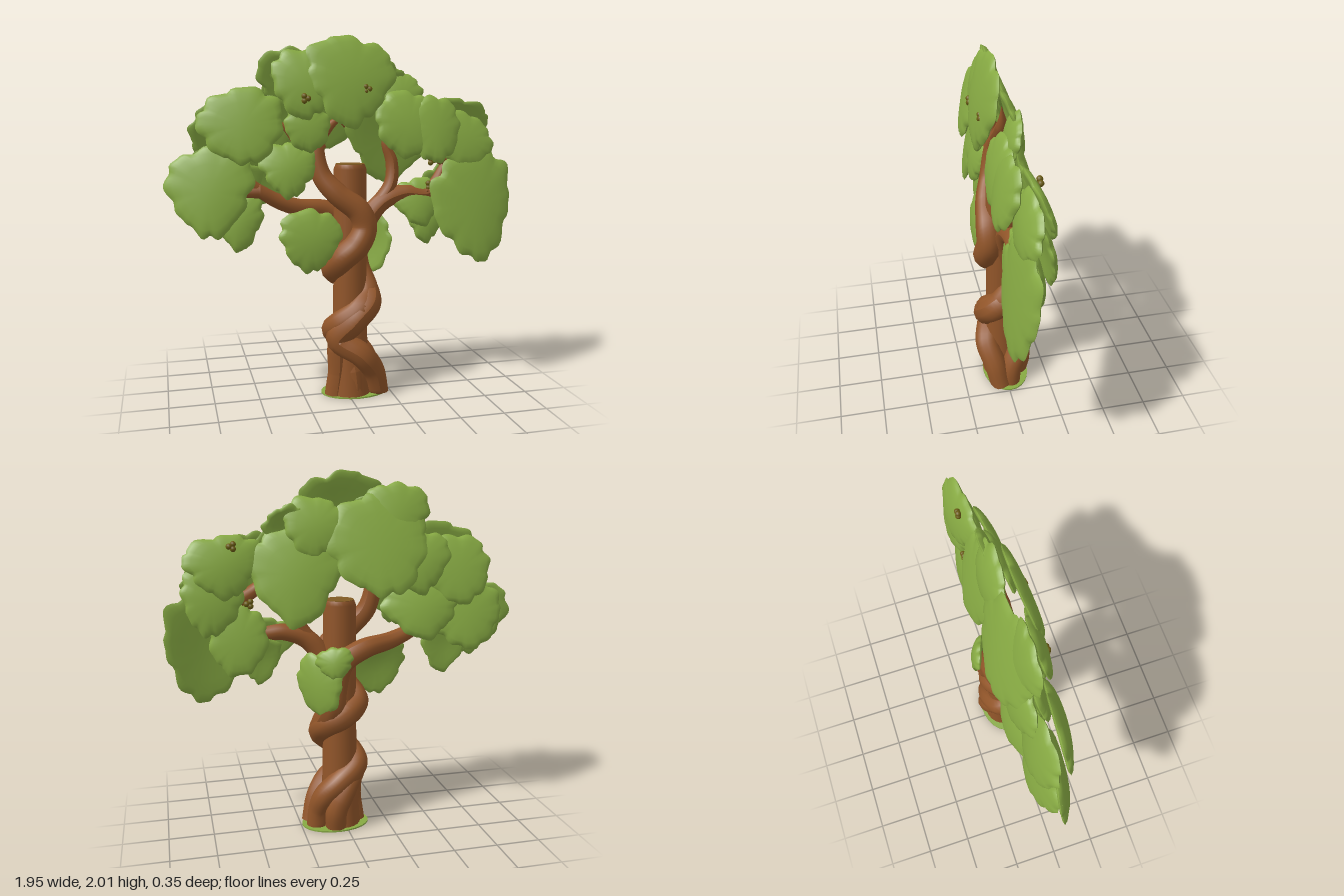
import * as THREE from 'three';

const mat = (name, color) => {
  const m = new THREE.MeshStandardMaterial({ color });
  m.name = name;
  return m;
};

// Tapered tube through points; radii are spread evenly along the path
function taperTube(points, radii, segments = 60, sides = 12) {
  const curve = new THREE.CatmullRomCurve3(points.map(p => new THREE.Vector3(...p)));
  const geo = new THREE.TubeGeometry(curve, segments, 1, sides);
  const pos = geo.attributes.position, v = new THREE.Vector3();
  for (let i = 0; i <= segments; i++) {
    const t = i / segments, c = curve.getPointAt(t);
    const f = t * (radii.length - 1), k = Math.min(Math.floor(f), radii.length - 2);
    const r = THREE.MathUtils.lerp(radii[k], radii[k + 1], f - k);
    for (let j = 0; j <= sides; j++) {
      const n = i * (sides + 1) + j;
      v.fromBufferAttribute(pos, n).sub(c).multiplyScalar(r).add(c);
      pos.setXYZ(n, v.x, Math.max(0.008, v.y), v.z);
    }
  }
  geo.computeVertexNormals();
  return geo;
}

// Plump leaf, wide above and narrow below: two domed discs sharing one lobed rim
function leafGeometry(w, h, seed) {
  const N = 72, rings = [0.3, 0.6, 0.82, 0.94, 1], thick = 0.02;
  const lobes = 7 + (seed % 3), phase = seed * 1.3;
  const pos = [], idx = [];
  const point = (r, a, side) => {
    const scallop = 0.88 + 0.13 * Math.pow(Math.abs(Math.sin(a * lobes / 2 + phase)), 0.6);
    const wobble = 1 + 0.05 * Math.sin(3 * a + seed) + 0.025 * Math.sin(13 * a + seed);
    const k = 1 + (scallop * wobble - 1) * r ** 4;
    const u = r * k * Math.cos(a), v = r * k * Math.sin(a);
    const bend = 0.02 * (0.4 - r * r) + 0.006 * r * r * Math.sin(2 * a + seed);
    pos.push(u * (1 + 0.28 * v) * w / 2, v * h / 2, side * thick * Math.sqrt(1 - r ** 6) + bend);
  };
  for (const side of [1, -1]) {
    const base = pos.length / 3;
    point(0, 0, side);
    for (const r of rings) for (let j = 0; j < N; j++) point(r, j / N * Math.PI * 2, side);
    const tri = (a, b, c) => side > 0 ? idx.push(a, b, c) : idx.push(a, c, b);
    for (let j = 0; j < N; j++) {
      const q = (j + 1) % N;
      tri(base, base + 1 + j, base + 1 + q);
      for (let i = 0; i < rings.length - 1; i++) {
        const a = base + 1 + i * N, b = a + N;
        tri(a + j, b + j, b + q);
        tri(a + j, b + q, a + q);
      }
    }
  }
  const geo = new THREE.BufferGeometry();
  geo.setAttribute('position', new THREE.Float32BufferAttribute(pos, 3));
  geo.setIndex(idx);
  geo.computeVertexNormals();
  return geo;
}

export function createModel() {
  const bark = mat('bark brown', 0x915529);
  const green = mat('leaf green', 0x87aa43);
  const olive = mat('olive bud', 0x6b5c14);
  const cutWood = mat('cut wood', 0x7f5a22);
  const root = new THREE.Group();
  root.name = 'tree';
  const add = (name, geo, m, x = 0, y = 0, z = 0) => {
    const mesh = new THREE.Mesh(geo, m);
    mesh.name = name;
    mesh.position.set(x, y, z);
    root.add(mesh);
    return mesh;
  };

  // Central post with a rounded, cut top; flared foot and moss under it
  const profile = [[0.12, 0.008], [0.11, 0.12], [0.1, 0.3], [0.093, 0.7], [0.09, 1.29], [0.08, 1.315]];
  add('post', new THREE.LatheGeometry(profile.map(p => new THREE.Vector2(...p)), 24), bark, 0.02, 0, 0);
  add('postTop', new THREE.CylinderGeometry(0.08, 0.08, 0.008, 24), cutWood, 0.02, 1.313, 0);
  add('baseMoss', new THREE.CylinderGeometry(1, 1, 0.008, 24), green, 0.05, 0.004, -0.01).scale.set(0.195, 1, 0.135);

  // Twisting stems around the post, running out into the main boughs
  const stems = {
    frontStem: [[[0.18, 0.0, 0.04], [0.14, 0.14, 0.07], [0.06, 0.25, 0.1], [-0.06, 0.34, 0.06], [0.02, 0.45, 0.095],
      [0.11, 0.54, 0.06], [0.1, 0.62, -0.04], [0.02, 0.67, -0.075], [-0.07, 0.73, -0.01], [-0.04, 0.8, 0.07],
      [0.04, 0.88, 0.095], [0.08, 0.97, 0.085], [0.05, 1.06, 0.085], [-0.07, 1.16, 0.07], [-0.15, 1.26, 0.04],
      [-0.17, 1.42, 0.02], [-0.1, 1.52, 0.01], [0.04, 1.62, 0]],
      [0.06, 0.07, 0.076, 0.075, 0.075, 0.072, 0.06, 0.042, 0.0]],
    backStem: [[[0.16, 0.0, -0.02], [0.15, 0.1, -0.03], [0.12, 0.2, -0.07], [0.04, 0.28, -0.085],
      [-0.06, 0.36, -0.04], [-0.05, 0.42, 0.05], [0.05, 0.5, 0.085], [0.11, 0.58, 0.02], [0.08, 0.72, -0.07],
      [0.06, 0.85, -0.075], [0.02, 0.98, -0.085], [-0.1, 1.05, -0.08], [-0.27, 1.08, -0.03], [-0.42, 1.14, 0],
      [-0.54, 1.24, 0.02], [-0.6, 1.38, 0.02]],
      [0.06, 0.068, 0.074, 0.075, 0.073, 0.064, 0.05, 0.036, 0.0]],
    backRoot: [[[0.06, 0, -0.08], [0.06, 0.12, -0.1], [0.0, 0.25, -0.09], [-0.07, 0.36, -0.02], [-0.03, 0.46, 0.06]],
      [0.06, 0.065, 0.06, 0.04]],
    leftRoot: [[[-0.075, 0, 0.02], [-0.06, 0.15, 0.03], [-0.06, 0.28, 0.03], [-0.05, 0.4, 0.03]], [0.058, 0.055, 0.06, 0.05]],
    frontRoot: [[[0.04, 0, 0.06], [0.03, 0.12, 0.06], [0.0, 0.3, 0.05]], [0.055, 0.055, 0.03]],
    rightBough: [[[0.0, 0.68, -0.07], [0.08, 0.82, -0.04], [0.11, 0.98, 0.0], [0.2, 1.1, 0.01], [0.33, 1.15, 0.01],
      [0.47, 1.15, 0.02], [0.55, 1.28, 0.02], [0.6, 1.42, 0]], [0.055, 0.06, 0.052, 0.042, 0.0]],
  };
  for (const [name, [pts, radii]] of Object.entries(stems)) add(name, taperTube(pts, radii, 130), bark);

  // Smaller branches
  const twigs = [
    [[0.16, 1.07, 0.01], [0.25, 1.2, 0.01], [0.26, 1.32, 0], [0.22, 1.45, 0], [0.3, 1.6, 0]],
    [[0.45, 1.16, 0.02], [0.58, 1.12, 0.02], [0.7, 1.04, 0.02]],
    [[-0.16, 1.3, 0.03], [-0.24, 1.4, 0.02], [-0.32, 1.5, 0], [-0.42, 1.58, 0]],
    [[-0.16, 1.4, 0.02], [-0.2, 1.55, 0.02], [-0.22, 1.72, 0.03]],
    [[-0.05, 1.54, 0.01], [0.06, 1.66, 0.01], [0.1, 1.78, 0.02]],
    [[-0.48, 1.18, 0.01], [-0.62, 1.18, 0], [-0.78, 1.2, 0]],
    [[0.57, 1.33, 0.01], [0.46, 1.4, 0.02], [0.4, 1.5, 0.02]],
  ];
  for (const t of twigs) add('branch', taperTube(t, [0.042, 0.034, 0.0], 24, 10), bark);

  // Leaves: x, y, z, width, height, turn, roll, tilt
  const front = [
    [0.0, 1.765, 0.105, 0.47, 0.5, 0.05, 0, -0.2],
    [-0.25, 1.745, 0.09, 0.34, 0.38, -0.05, 0.1, -0.2],
    [-0.23, 1.52, 0.085, 0.25, 0.28, 0, 0.1, -0.15],
    [-0.58, 1.525, 0.09, 0.45, 0.41, -0.1, 0, -0.22],
    [-0.75, 1.185, 0.05, 0.45, 0.49, -0.18, -0.1, -0.18],
    [-0.6, 1.02, 0.02, 0.26, 0.32, -0.1, 0, -0.15],
    [-0.335, 1.3, 0.08, 0.3, 0.31, 0, 0.1, -0.25],
    [-0.215, 0.91, 0.09, 0.35, 0.35, 0.1, 0.1, -0.15],
    [0.32, 1.53, 0.095, 0.36, 0.38, 0.05, 0.2, -0.22],
    [0.48, 1.5, 0.095, 0.32, 0.38, 0.1, -0.1, -0.22],
    [0.73, 1.07, 0.08, 0.5, 0.65, 0.1, 0.05, -0.12],
    [0.41, 1.1, 0.04, 0.28, 0.28, 0, 0.1, -0.2],
    [0.46, 1.0, 0.02, 0.22, 0.28, 0, 0, -0.15],
    [0.3, 1.69, 0.02, 0.24, 0.28, 0, -0.3, -0.2],
    [0.68, 1.44, 0.035, 0.36, 0.32, 0.1, -0.4, -0.22],
  ];
  const back = [
    [-0.19, 1.61, -0.075, 0.58, 0.58, 0, 0, 0.3],
    [-0.3, 1.77, -0.02, 0.36, 0.36, 0, 0.2, 0.25],
    [0.27, 1.46, -0.065, 0.5, 0.54, -0.05, 0, 0.25],
    [0.64, 1.52, -0.045, 0.4, 0.34, 0.1, -0.2, 0.25],
    [0.71, 1.34, -0.05, 0.32, 0.38, 0.1, 0, 0.2],
    [0.58, 1.12, -0.05, 0.32, 0.4, 0, 0, 0.2],
    [-0.64, 1.46, -0.055, 0.42, 0.4, 0, 0, 0.25],
    [-0.7, 1.21, -0.06, 0.46, 0.4, 0, 0, 0.25],
    [-0.43, 1.26, -0.09, 0.44, 0.34, 0, 0, 0.28],
    [-0.42, 1.52, -0.07, 0.34, 0.36, 0, 0, 0.25],
    [0.16, 1.71, -0.03, 0.34, 0.34, 0, 0, 0.25],
  ];
  const leaf = (name, [x, y, z, w, h, turn, roll, tilt], seed) =>
    add(name, leafGeometry(w, h, seed), green, x, y, z).rotation.set(tilt, turn, roll);
  front.forEach((l, i) => leaf('frontLeaf', l, i + 1));
  back.forEach(([x, y, z, w, h, turn, roll, tilt], i) =>
    leaf('backLeaf', [x, y, z, w, h, turn + Math.PI, -roll, tilt], i + 4));
  leaf('sideLeaf', [0.155, 0.85, -0.08, 0.29, 0.37, 2.36, 0.1, 0], 3);
  leaf('trunkLeaf', [0.08, 0.99, -0.14, 0.2, 0.18, 2.8, 0, 0.2], 5);

  // Small bud clusters beside the leaf stalks
  const buds = [[-0.25, 1.67, 0.125], [0.08, 1.72, 0.125], [0.53, 1.05, 0.055], [0.47, 1.19, 0.045],
    [0.6, 1.62, -0.05], [0.52, 1.32, -0.06]];
  for (const [x, y, z] of buds)
    for (let k = 0; k < 3; k++)
      add('bud', new THREE.SphereGeometry(0.016, 10, 8), olive, x + 0.014 * Math.cos(k * 2.1), y + 0.014 * Math.sin(k * 2.1), z);
  return root;
}
